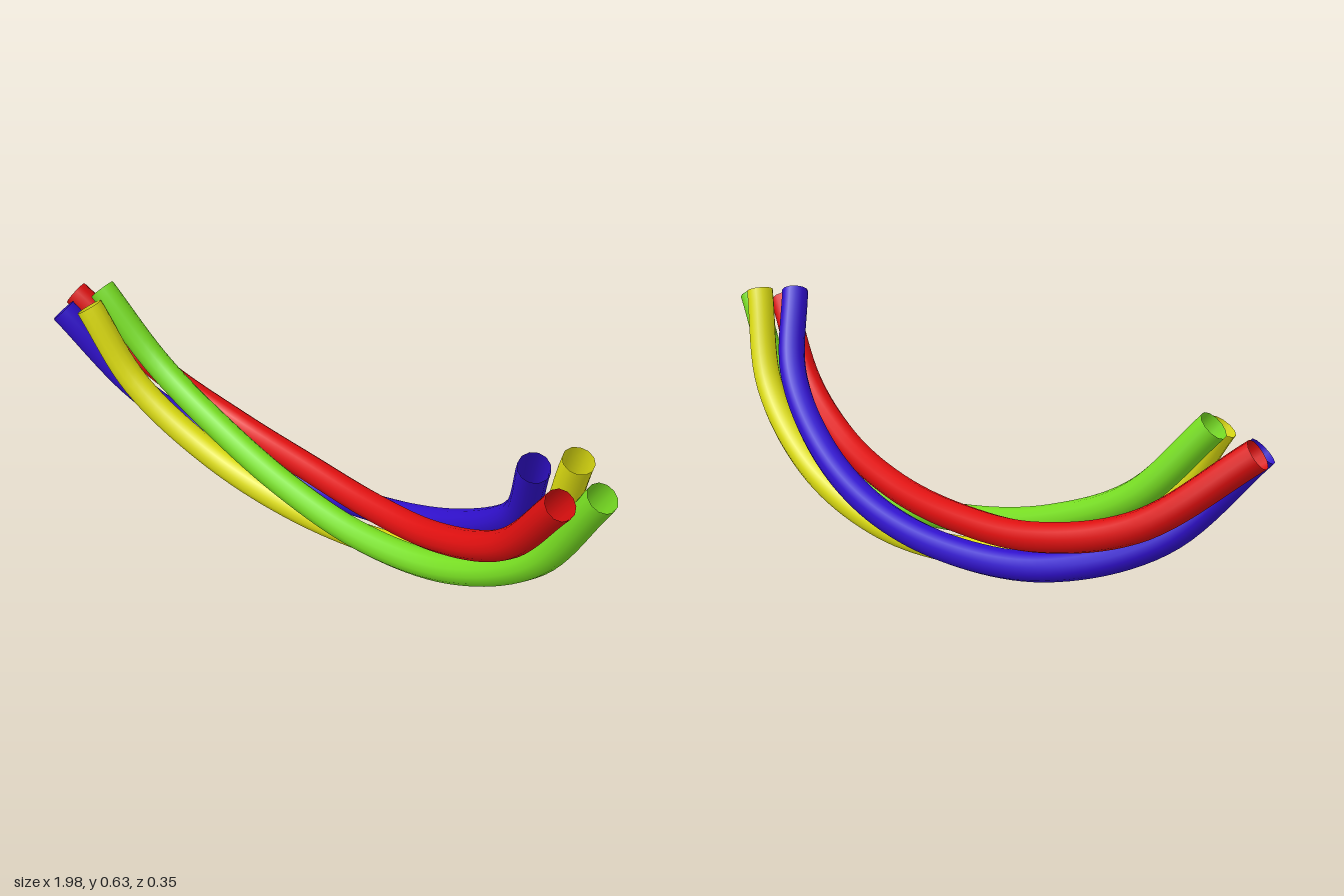
import * as THREE from 'three';

const V = (x, y, z) => new THREE.Vector3(x, y, z);
const mat = (name, color) =>
  new THREE.MeshStandardMaterial({ name, color, side: THREE.DoubleSide });

// Centre line of the whole bundle: a sagging arc in a tilted plane
const spine = new THREE.CatmullRomCurve3([
  V(-0.88, 0.525, 0.09), V(-0.73, 0.325, 0.015), V(-0.555, 0.215, -0.03),
  V(-0.37, 0.15, -0.06), V(0, 0.1, -0.08), V(0.35, 0.14, -0.068),
  V(0.555, 0.23, -0.04), V(0.73, 0.355, -0.003), V(0.82, 0.45, 0.025),
  V(0.87, 0.594, 0.058),
]);
const side = V(0, -0.31, 0.95).normalize(); // normal of the tilted plane
const SPREAD = 0.063; // distance of each strand from the centre line
const RADIUS = 0.04;

// Point of a strand at fraction t, winding around the centre line
function strandPoint(t, phase) {
  const angle = THREE.MathUtils.degToRad(-152 + 254 * t + phase);
  const inward = side.clone().cross(spine.getTangentAt(t)).normalize();
  return spine.getPointAt(t)
    .addScaledVector(inward, SPREAD * Math.cos(angle))
    .addScaledVector(side, SPREAD * Math.sin(angle));
}

export function createModel() {
  const group = new THREE.Group();
  group.name = 'twistedCableBundle';

  // Strands a quarter turn apart, each with its slightly splayed loose ends
  const strands = [
    ['red', 0xdd0f0f, V(-0.96, 0.51, 0.055), V(0.89, 0.565, 0.115)],
    ['green', 0x77dd22, V(-0.84, 0.555, 0.045), V(0.955, 0.58, 0.045)],
    ['yellow', 0xdddd11, V(-0.81, 0.53, 0.12), V(0.85, 0.615, -0.005)],
    ['blue', 0x3010cc, V(-0.92, 0.49, 0.135), V(0.79, 0.61, 0.085)],
  ];
  strands.forEach(([name, color, start, end], i) => {
    const points = [start];
    for (let k = 1; k <= 6; k++) points.push(strandPoint(k / 7, i * 90));
    points.push(end);
    const path = new THREE.CatmullRomCurve3(points);
    const mesh = new THREE.Mesh(
      new THREE.TubeGeometry(path, 64, RADIUS, 12, false), mat(name, color));
    mesh.name = name + 'Strand';
    group.add(mesh);
  });
  return group;
}
